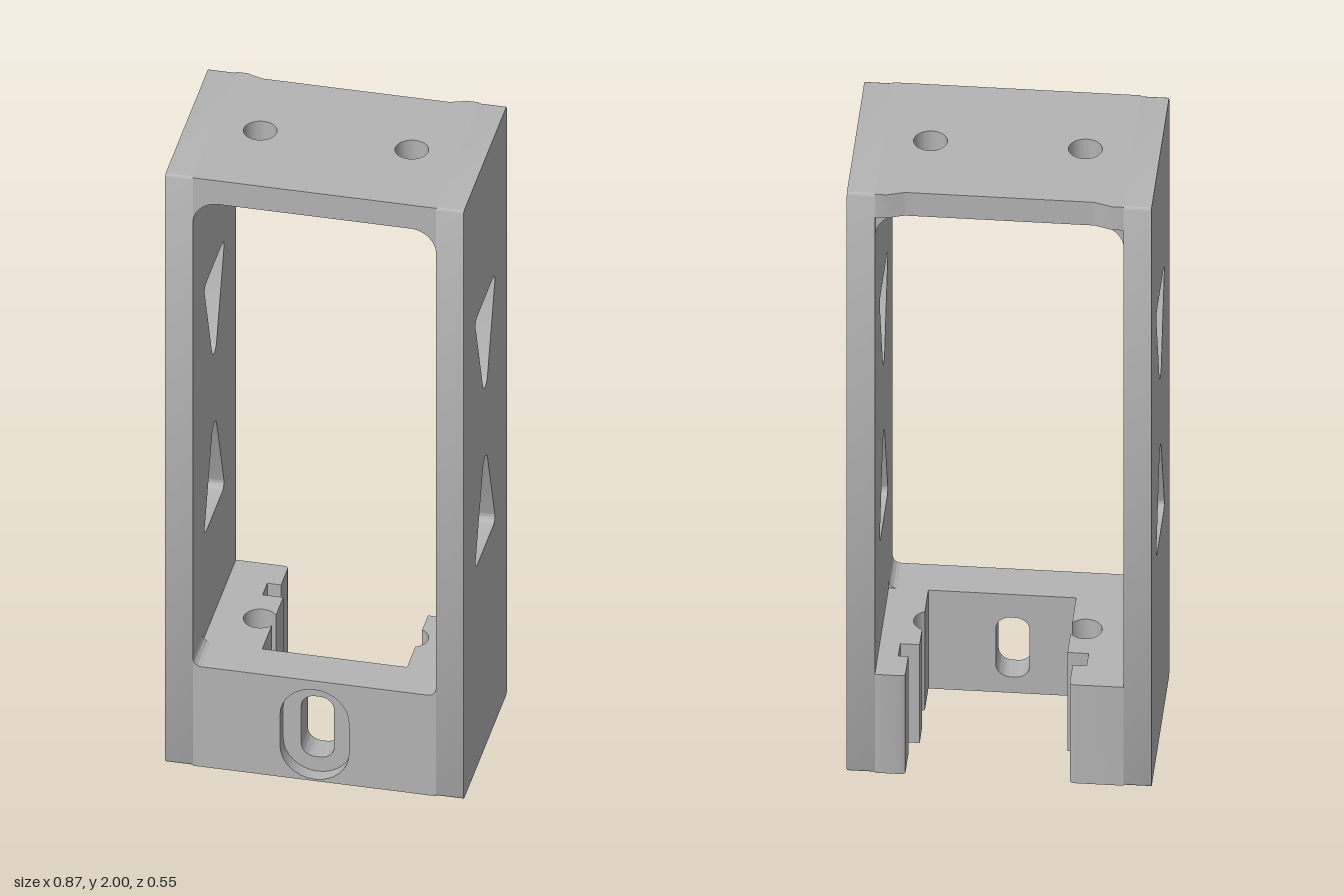
import * as THREE from 'three';
import { toCreasedNormals } from 'three/addons/utils/BufferGeometryUtils.js';

const W = 0.433, IN = 0.353, D = 0.277, SILL = 0.34, HEAD = 1.92, WALL_Z = 0.15;
const HOLE_X = 0.22, HOLE_R = 0.048;

// Closed outline through [x, y, radius] corners, each rounded by its radius
function rounded(points, Type = THREE.Shape) {
  const out = [];
  points.forEach(([x, y, r = 0], i) => {
    const p = new THREE.Vector2(x, y);
    if (!r) { out.push(p); return; }
    const n = points.length;
    const a = new THREE.Vector2(...points[(i + n - 1) % n].slice(0, 2)).sub(p).normalize();
    const b = new THREE.Vector2(...points[(i + 1) % n].slice(0, 2)).sub(p).normalize();
    const half = Math.acos(a.dot(b)) / 2;
    const c = a.clone().add(b).normalize().multiplyScalar(r / Math.sin(half)).add(p);
    const t = r / Math.tan(half);
    const s = a.multiplyScalar(t).add(p).sub(c), e = b.multiplyScalar(t).add(p).sub(c);
    const sweep = Math.atan2(s.cross(e), s.dot(e));
    for (let k = 0; k <= 8; k++) {
      out.push(s.clone().rotateAround(new THREE.Vector2(), sweep * k / 8).add(c));
    }
  });
  return new Type(out);
}

// Upright slot with round or softly rounded ends
function slot(halfWidth, y0, y1, r) {
  return rounded([[-halfWidth, y0, r], [halfWidth, y0, r], [halfWidth, y1, r], [-halfWidth, y1, r]], THREE.Path);
}

function extrude(shape, depth) {
  return new THREE.ExtrudeGeometry(shape, { depth, bevelEnabled: false, curveSegments: 24 });
}

export function createModel() {
  const group = new THREE.Group();
  const grey = new THREE.MeshStandardMaterial({ color: 0xb4b4b4 });
  grey.name = 'grey';

  const add = (name, geometry) => {
    const mesh = new THREE.Mesh(toCreasedNormals(geometry, 0.6), grey);
    mesh.name = name;
    group.add(mesh);
    return mesh;
  };

  // Side walls with two triangular openings each
  const side = rounded([[-D, 0, 0.008], [D, 0, 0.008], [D, 2, 0.008], [-D, 2, 0.008]]);
  const triangle = (base, apex) => rounded(
    [[-0.133, base, 0.02], [0.133, base, 0.02], [0, apex, 0.031]], THREE.Path);
  side.holes.push(triangle(1.53, 1.165), triangle(0.685, 1.045));
  for (const [name, x] of [['leftWall', IN], ['rightWall', -W]]) {
    add(name, extrude(side, W - IN).rotateY(Math.PI / 2).translate(x, 0, 0));
  }

  // Top plate, shallow recess along its back edge, two round holes
  const top = rounded([[-IN, -D], [IN, -D], [IN, D], [0.32, D],
    [0.27, 0.26, 0.04], [-0.27, 0.26, 0.04], [-0.32, D], [-IN, D]]);
  for (const s of [-1, 1]) top.holes.push(new THREE.Path().absarc(s * HOLE_X, 0, HOLE_R, 0, Math.PI * 2));
  add('topPlate', extrude(top, 2 - HEAD).rotateX(-Math.PI / 2).translate(0, HEAD, 0));

  // Rounded inner corners of the large opening: [x, y, radius, turn, back depth]
  const corners = [[-IN, SILL, 0.025, 0, WALL_Z], [IN, SILL, 0.025, 1, WALL_Z],
    [IN, HEAD, 0.075, 2, -0.26], [-IN, HEAD, 0.075, 3, -0.26]];
  for (const [x, y, r, turn, back] of corners) {
    const fillet = new THREE.Shape();
    fillet.moveTo(0, 0);
    fillet.lineTo(r, 0);
    fillet.absarc(r, r, r, -Math.PI / 2, -Math.PI, true);
    add('cornerFillet', extrude(fillet, D - back).rotateZ(turn * Math.PI / 2).translate(x, y, back));
  }

  // Lower front wall: a slot behind a wider stadium-shaped counterbore
  const panel = (hole) => {
    const s = rounded([[-IN, 0], [IN, 0], [IN, SILL], [-IN, SILL]]);
    s.holes.push(hole);
    return s;
  };
  const step = 0.235;
  add('slottedWall', extrude(panel(slot(0.048, 0.055, 0.26, 0.04)), step - WALL_Z).translate(0, 0, WALL_Z));
  add('counterboreWall', extrude(panel(slot(0.1, 0.006, 0.31, 0.0995)), D - step).translate(0, 0, step));

  // Lower side blocks: notched inner faces with a round screwdriver channel
  const block = (name, s, back, notch, wall) => {
    const start = Math.acos((HOLE_X - wall) / HOLE_R);
    const pts = [[IN, -WALL_Z], [IN, D], [back, D, 0.012], [back, 0.18], [notch, 0.18], [notch, 0.12], [wall, 0.12]];
    for (let k = 0; k <= 20; k++) {
      const a = Math.PI - start - (2 * Math.PI - 2 * start) * k / 20;
      pts.push([HOLE_X + HOLE_R * Math.cos(a), HOLE_R * Math.sin(a)]);
    }
    pts.push([wall, -WALL_Z]);
    const shape = rounded(pts.map(([x, y, r]) => [s * x, y, r]));
    add(name, extrude(shape, SILL).rotateX(-Math.PI / 2));
  };
  block('leftBlock', 1, 0.267, 0.295, 0.24);
  block('rightBlock', -1, 0.2, 0.24, 0.18);

  return group;
}
